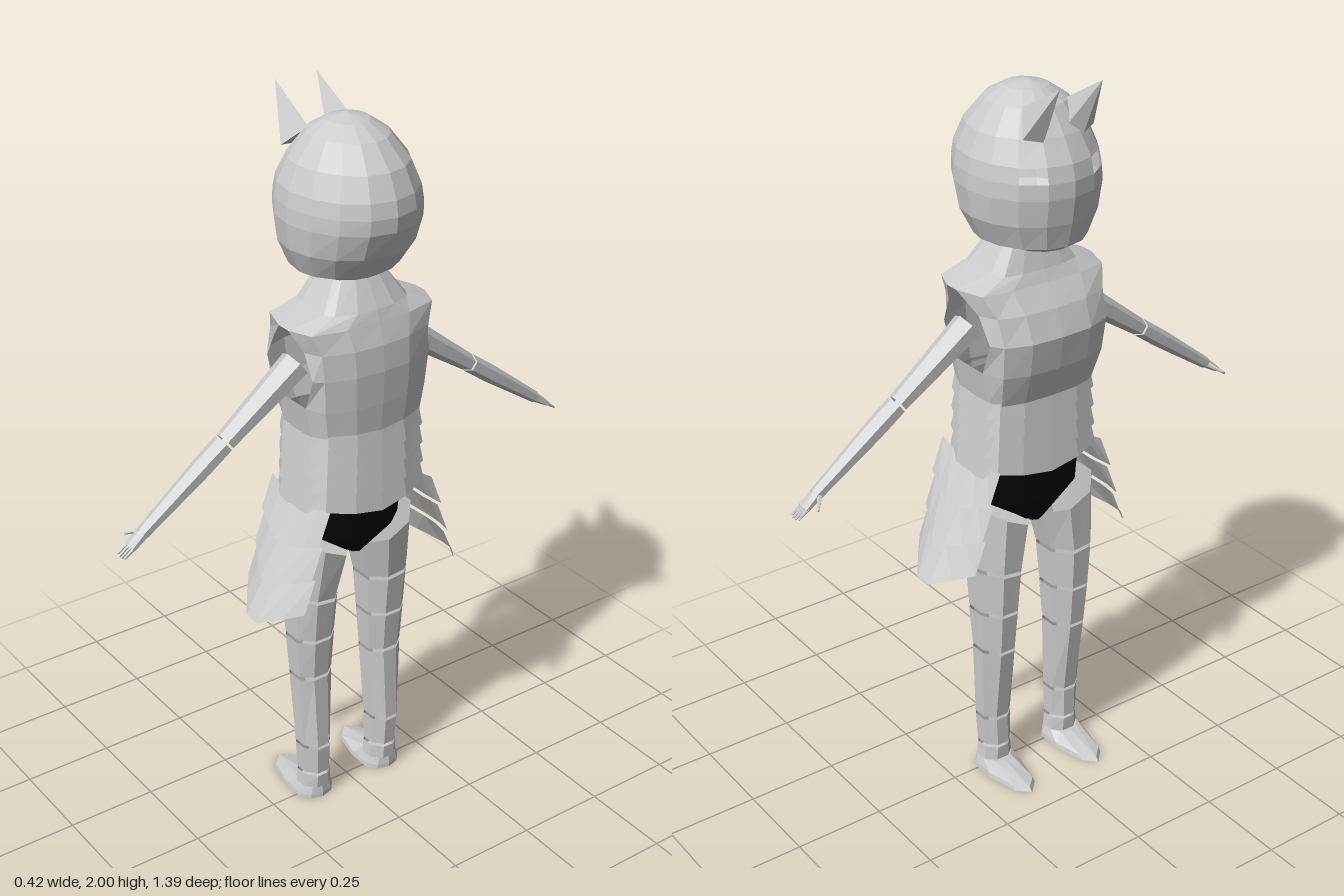
import * as THREE from 'three';

const GREY = new THREE.MeshStandardMaterial({ color: 0xcccccc, flatShading: true, side: THREE.DoubleSide });
const BLACK = new THREE.MeshStandardMaterial({ color: 0x050505, flatShading: true, side: THREE.DoubleSide });

// Skin between cross-sections listed from bottom to top; skip(row, column) leaves holes
function loft(rings, { closed = true, bottom = false, top = false, skip = () => false } = {}) {
  const n = rings[0].length, pos = rings.flat(2), idx = [];
  for (let i = 0; i < rings.length - 1; i++) {
    for (let j = 0; j < (closed ? n : n - 1); j++) {
      if (skip(i, j)) continue;
      const a = i * n + j, b = i * n + (j + 1) % n;
      idx.push(a, b, b + n, a, b + n, a + n);
    }
  }
  const cap = (row, up) => {
    const c = pos.length / 3;
    for (let k = 0; k < 3; k++) pos.push(rings[row].reduce((s, p) => s + p[k], 0) / n);
    for (let j = 0; j < n; j++) {
      const a = row * n + j, b = row * n + (j + 1) % n;
      idx.push(...(up ? [a, b, c] : [b, a, c]));
    }
  };
  if (bottom) cap(0, false);
  if (top) cap(rings.length - 1, true);
  const g = new THREE.BufferGeometry();
  g.setAttribute('position', new THREE.Float32BufferAttribute(pos, 3));
  g.setIndex(idx);
  const flat = g.toNonIndexed();
  flat.computeVertexNormals();
  return flat;
}

function add(parent, name, geometry, material = GREY) {
  const m = new THREE.Mesh(geometry, material);
  m.name = name;
  parent.add(m);
  return m;
}

// Oval section with separate front and back depth; slope tilts it sideways
function oval(n, y, cx, w, f, b, { slope = 0, turn = 0, cz = 0 } = {}) {
  return Array.from({ length: n }, (_, j) => {
    const t = ((j + turn) / n) * Math.PI * 2, c = Math.cos(t), x = w * Math.sin(t);
    return [cx + x, y + slope * x, cz + (c > 0 ? f : b) * c];
  });
}

// Sixteen-sided armour section; hf and hb are the armhole edges, dip makes chevrons
function armour(y, w, f, b, hf = 0.05, hb = -0.07, dip = 0) {
  const drop = [1, 0.5, 0, 0.7, 1, 0.7, 0, 0.5, 1];
  const half = [[0, f], [0.5 * w, f * 0.97], [0.88 * w, f * 0.8], [w, hf], [w, (hf + hb) / 2],
    [w, hb], [0.88 * w, b * 0.8], [0.45 * w, b * 0.97], [0, b]]
    .map(([x, z], j) => [x, y - dip * drop[j], z]);
  const mirror = half.slice(1, 8).reverse().map(([x, yy, z]) => [-x, yy, z]);
  return half.concat(mirror);
}

function buildHead(parent) {
  // y, half width, front depth, back depth
  const rows = [[1.565, 0.09, 0.13, 0.09], [1.585, 0.14, 0.165, 0.125], [1.65, 0.17, 0.182, 0.175],
    [1.72, 0.178, 0.193, 0.205], [1.76, 0.176, 0.192, 0.209], [1.80, 0.17, 0.182, 0.202],
    [1.86, 0.145, 0.147, 0.175], [1.92, 0.1, 0.1, 0.12], [1.95, 0.055, 0.05, 0.065]];
  const rings = rows.map(([y, w, f, b]) => oval(16, y, 0, w, f, b));
  rings.push(oval(16, 1.963, 0, 0.004, 0.004, 0.004));
  // Eye openings in the face
  const skip = (i, j) => i === 4 && (j === 1 || j === 14);
  add(parent, 'head', loft(rings, { bottom: true, top: true, skip }));
}

function buildTorso(parent) {
  const rings = [
    armour(1.16, 0.16, 0.105, -0.15),
    armour(1.25, 0.175, 0.138, -0.158),
    armour(1.34, 0.18, 0.152, -0.163, 0.09, -0.11),
    armour(1.41, 0.185, 0.125, -0.158, 0.05, -0.08),
    armour(1.465, 0.21, 0.085, -0.14, -0.01, -0.05),
    armour(1.495, 0.125, 0.07, -0.13, 0.02, -0.08),
    armour(1.57, 0.075, 0.045, -0.09, 0.01, -0.05),
  ];
  const armhole = (i, j) => i >= 1 && i <= 3 && [3, 4, 11, 12].includes(j);
  add(parent, 'breastplate', loft(rings, { skip: armhole }));

  // Overlapping waist bands
  for (let k = 0; k < 4; k++) {
    const y = 1.2 - k * 0.055, w = 0.158 + k * 0.003;
    add(parent, 'waistBand', loft([
      armour(y - 0.065, w + 0.011, 0.108, -0.16, 0.05, -0.07, 0.028),
      armour(y, w, 0.098, -0.15, 0.05, -0.07, 0.02)]));
  }
  // Briefs
  add(parent, 'briefs', loft([
    oval(12, 0.77, 0, 0.03, 0.05, 0.06),
    oval(12, 0.85, 0, 0.145, 0.085, 0.115),
    oval(12, 0.96, 0, 0.155, 0.088, 0.13)], { bottom: true, top: true }), BLACK);
}

// Three flared hip plates
function buildHipPlates(parent) {
  const section = (t, out) => [[0.105, 0], [0.055, 0.5], [0, 1], [-0.05, 1], [-0.105, 0.5], [-0.155, 0]]
    .map(([z, k]) => [0.162 + 0.07 * t + out + k * (0.008 + 0.07 * t),
      0.985 - 0.275 * t - k * (0.025 + 0.025 * t), z]);
  for (let k = 0; k < 3; k++) {
    add(parent, 'hipPlate', loft([section((k + 1) / 3, 0.012), section(k / 3, 0)], { closed: false }));
  }
}

function buildArm(parent) {
  const arm = new THREE.Group();
  arm.name = 'arm';
  arm.position.set(0.17, 1.355, -0.02);
  arm.rotation.z = 0.946;
  parent.add(arm);
  const sec = (y, w, d) => oval(6, y, 0, w, d, d, { turn: 0.5 });
  add(arm, 'upperArm', loft([sec(-0.262, 0.024, 0.031), sec(0, 0.038, 0.044)], { top: true }));
  add(arm, 'forearm', loft([sec(-0.565, 0.016, 0.02), sec(-0.36, 0.025, 0.03), sec(-0.268, 0.025, 0.032)],
    { bottom: true, top: true }));
  add(arm, 'palm', loft([sec(-0.61, 0.009, 0.023), sec(-0.56, 0.014, 0.02)], { bottom: true, top: true }));
  for (let k = 0; k < 4; k++) {
    const finger = add(arm, 'finger', new THREE.CylinderGeometry(0.005, 0.003, 0.035 + (k % 3 ? 0.006 : 0), 5));
    finger.position.set(0, -0.623, 0.016 - k * 0.0105);
  }
  const thumb = add(arm, 'thumb', new THREE.CylinderGeometry(0.007, 0.003, 0.045, 5));
  thumb.position.set(0, -0.578, 0.033);
  thumb.rotation.x = -0.85;
}

function buildLeg(parent) {
  // Separate leg plates: [y, centre x, half width, front, back, slope] at bottom and top
  const plates = [
    ['thigh', [0.665, 0.116, 0.068, 0.095, 0.073, 0.12], [0.815, 0.103, 0.082, 0.1, 0.1, 0.5]],
    ['lowerThigh', [0.535, 0.117, 0.061, 0.085, 0.058, 0], [0.653, 0.116, 0.067, 0.094, 0.072, 0.12]],
    ['knee', [0.41, 0.117, 0.054, 0.073, 0.046, 0], [0.525, 0.117, 0.061, 0.084, 0.057, 0]],
    ['shin', [0.18, 0.117, 0.045, 0.042, 0.056, 0], [0.4, 0.117, 0.054, 0.072, 0.046, 0]],
    ['lowerShin', [0.085, 0.115, 0.042, 0.044, 0.05, 0], [0.17, 0.117, 0.045, 0.042, 0.056, 0]],
    ['ankle', [0.035, 0.115, 0.046, 0.042, 0.048, 0], [0.075, 0.115, 0.042, 0.043, 0.05, 0]],
  ];
  for (const [name, ...ends] of plates) {
    const rings = ends.map(([y, cx, w, f, b, slope]) => oval(8, y, cx, w * 1.06, f * 1.06, b * 1.06, { slope, turn: 0.5 }));
    add(parent, name, loft(rings));
  }
  add(parent, 'foot', loft([
    oval(10, 0, 0.116, 0.058, 0.18, 0.05),
    oval(10, 0.012, 0.116, 0.056, 0.17, 0.05),
    oval(10, 0.034, 0.116, 0.048, 0.05, 0.047)], { bottom: true, top: true }));
}

// Pointed ear: a leaning four-sided spike
function buildEar(parent) {
  const base = [[0.06, 1.855, 0.145], [0.105, 1.865, 0.125], [0.065, 1.92, 0.065], [0.03, 1.88, 0.125]];
  const tip = base.map(() => [0.062, 2, 0.21]);
  add(parent, 'ear', loft([base, tip], { bottom: true }));
}

export function createModel() {
  const model = new THREE.Group();
  model.name = 'armouredFigure';
  // The figure is built facing +z, then turned towards -x
  const body = new THREE.Group();
  body.name = 'body';
  body.rotation.y = -Math.PI / 2;
  model.add(body);
  buildHead(body);
  buildTorso(body);
  for (const s of [1, -1]) {
    const side = new THREE.Group();
    side.name = s > 0 ? 'leftSide' : 'rightSide';
    side.scale.x = s;
    body.add(side);
    buildEar(side);
    buildArm(side);
    buildHipPlates(side);
    buildLeg(side);
  }
  return model;
}
